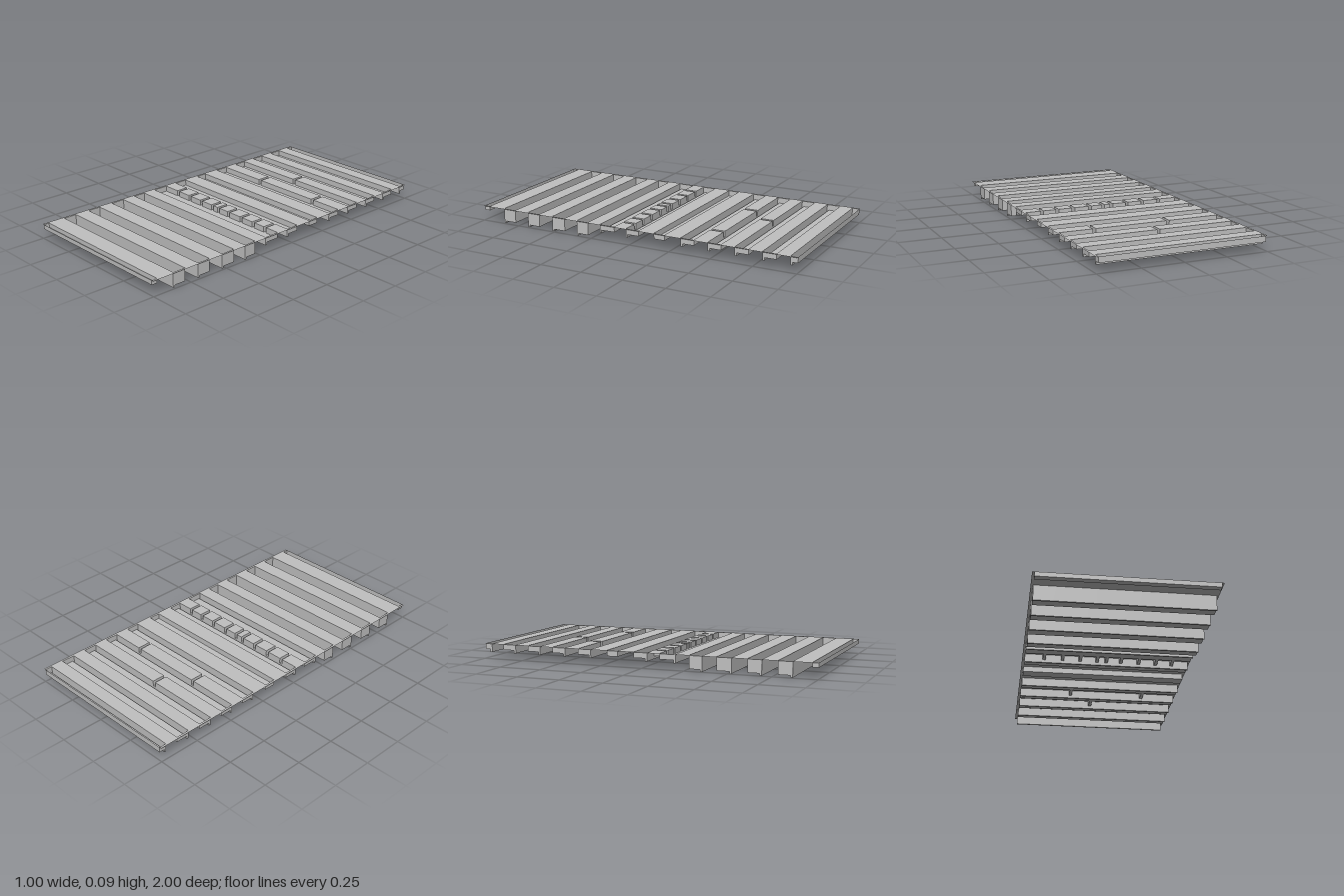
import * as THREE from 'three';

const TOP = 0.088, HALF_W = 0.5, TROUGH_W = 0.487, LIP = 0.011;

// Cross troughs: back z, front z, floor height, drip-lip height at the front edge
const troughs = [
  [-1, -0.957, 0.055, 0.038], [-0.88, -0.80, 0.055, 0.038], [-0.72, -0.64, 0.055, 0.038],
  [-0.56, -0.48, 0.055, 0.038], [-0.397, -0.317, 0.055, 0.038], [-0.217, -0.15, 0.055, 0.055],
  [-0.053, 0.027, 0.055, 0.038], [0.103, 0.197, 0.055, 0.038], [0.277, 0.352, 0.012, 0],
  [0.435, 0.52, 0.012, 0], [0.61, 0.69, 0.012, 0], [0.78, 0.86, 0.012, 0],
  [0.965, 1, 0.062, 0.062],
];

// Narrow grooves joining neighbouring troughs: back z, front z, x centres
const grooveRows = [
  [-0.64, -0.56, [-0.033]],
  [-0.48, -0.397, [-0.173, 0.278]],
  [0.027, 0.103, [-0.373, -0.265, -0.16, -0.06, -0.005, 0.082, 0.188, 0.29, 0.385]],
];
const GROOVE_HALF = 0.009, GROOVE_Y = 0.055;

// All pressed areas as rectangles with a depth
const recesses = [];
for (const [z0, z1, floor, lip] of troughs) {
  recesses.push({ part: 'troughs', x0: -TROUGH_W, x1: TROUGH_W, z0, z1: z1 - LIP, y: floor });
  recesses.push({ part: 'troughs', x0: -TROUGH_W, x1: TROUGH_W, z0: z1 - LIP, z1, y: lip });
}
for (const [z0, z1, centres] of grooveRows)
  for (const x of centres)
    recesses.push({ part: 'linkGrooves', x0: x - GROOVE_HALF, x1: x + GROOVE_HALF, z0, z1, y: GROOVE_Y });

const sortedUnique = (list) => [...new Set(list)].sort((a, b) => a - b);

export function createModel() {
  const group = new THREE.Group();
  group.name = 'ribbedPanel';
  const grey = new THREE.MeshStandardMaterial({ color: 0xc0c0c0, side: THREE.DoubleSide });
  grey.name = 'lightGrey';

  const parts = { deck: [], troughs: [], linkGrooves: [] };
  const quad = (part, a, b, c, d) => parts[part].push(...a, ...b, ...c, ...a, ...c, ...d);

  // Grid lines follow every recess edge
  const xs = sortedUnique([-HALF_W, HALF_W, ...recesses.flatMap((r) => [r.x0, r.x1])]);
  const zs = sortedUnique([-1, 1, ...recesses.flatMap((r) => [r.z0, r.z1])]);
  const deckCell = { part: 'deck', y: TOP };
  const cellAt = (i, j) => {
    if (i < 0 || j < 0 || i >= xs.length - 1 || j >= zs.length - 1) return deckCell;
    const x = (xs[i] + xs[i + 1]) / 2, z = (zs[j] + zs[j + 1]) / 2;
    return recesses.find((r) => x > r.x0 && x < r.x1 && z > r.z0 && z < r.z1) || deckCell;
  };

  // Upright wall wherever two neighbouring cells differ in height
  const wall = (a, b, xa, za, xb, zb) => {
    if (Math.abs(a.y - b.y) < 1e-6) return;
    const low = a.y < b.y ? a : b, high = Math.max(a.y, b.y);
    quad(low.part, [xa, low.y, za], [xb, low.y, zb], [xb, high, zb], [xa, high, za]);
  };

  for (let i = 0; i < xs.length; i++) {
    for (let j = 0; j < zs.length; j++) {
      const x0 = xs[i], x1 = xs[i + 1], z0 = zs[j], z1 = zs[j + 1];
      const cell = cellAt(i, j);
      if (x1 !== undefined && z1 !== undefined)
        quad(cell.part, [x0, cell.y, z1], [x1, cell.y, z1], [x1, cell.y, z0], [x0, cell.y, z0]);
      if (z1 !== undefined) wall(cellAt(i - 1, j), cell, x0, z0, x0, z1);
      if (x1 !== undefined) wall(cellAt(i, j - 1), cell, x0, z0, x1, z0);
    }
  }

  // One mesh for each part of the sheet
  for (const [name, points] of Object.entries(parts)) {
    const geometry = new THREE.BufferGeometry();
    geometry.setAttribute('position', new THREE.Float32BufferAttribute(points, 3));
    geometry.computeVertexNormals();
    const mesh = new THREE.Mesh(geometry, grey);
    mesh.name = name;
    group.add(mesh);
  }
  return group;
}
